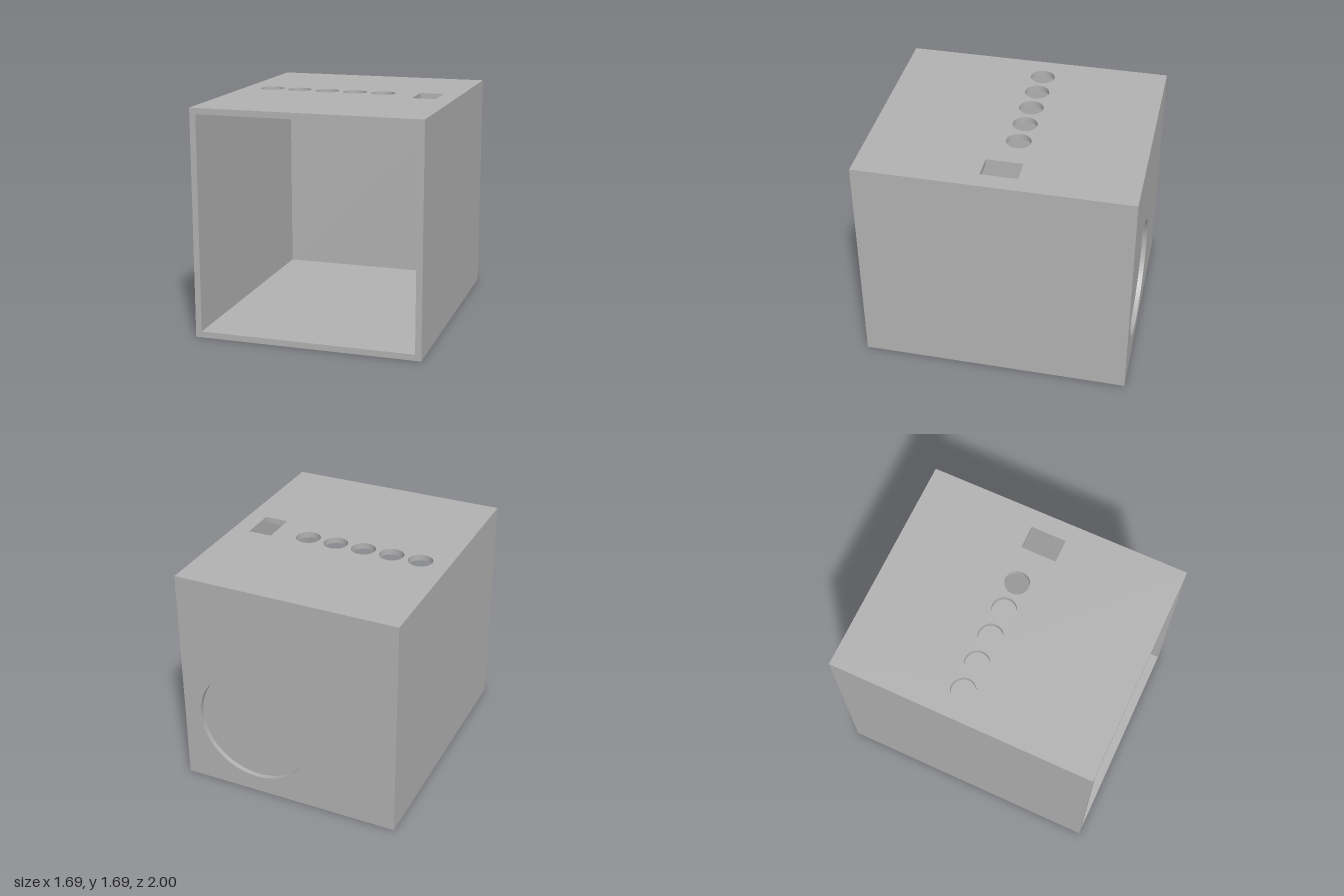
import * as THREE from 'three';

const W = 1.69, H = 1.69, D = 2, T = 0.045; // outer size and wall thickness
const RECESS = 0.036;                       // depth of the round recess in the back

const rectPoints = (x0, y0, x1, y1) => [
  new THREE.Vector2(x0, y0), new THREE.Vector2(x1, y0),
  new THREE.Vector2(x1, y1), new THREE.Vector2(x0, y1),
];

function circleHole(x, y, r) {
  const path = new THREE.Path();
  path.absarc(x, y, r, 0, Math.PI * 2, true);
  return path;
}

const extrude = (shape, depth) =>
  new THREE.ExtrudeGeometry(shape, { depth, bevelEnabled: false, curveSegments: 48 });

export function createModel() {
  const group = new THREE.Group();
  group.name = 'openBox';
  const grey = new THREE.MeshStandardMaterial({ color: 0xb2b2b2 });
  grey.name = 'grey';

  const add = (name, geometry, x, y, z) => {
    const mesh = new THREE.Mesh(geometry, grey);
    mesh.name = name;
    mesh.position.set(x, y, z);
    group.add(mesh);
  };

  // Floor and side walls
  add('floorPanel', new THREE.BoxGeometry(W, T, D), 0, T / 2, 0);
  for (const s of [-1, 1]) {
    add(s > 0 ? 'leftWall' : 'rightWall',
      new THREE.BoxGeometry(T, H - 2 * T, D), s * (W - T) / 2, H / 2, 0);
  }

  // Top panel with five round holes and one rectangular opening
  const top = new THREE.Shape(rectPoints(-W / 2, -D / 2, W / 2, D / 2));
  for (let i = 0; i < 5; i++) top.holes.push(circleHole(-0.625 + i * 0.222, -0.07, 0.091));
  top.holes.push(new THREE.Path(rectPoints(0.53, -0.16, 0.71, 0.11).reverse()));
  add('topPanel', extrude(top, T).rotateX(Math.PI / 2), 0, H, 0);

  // Back wall: outer layer cut by the recess, closed by a thin inner layer
  const back = new THREE.Shape(rectPoints(-W / 2 + T, T, W / 2 - T, H - T));
  back.holes.push(circleHole(0.265, 0.575, 0.446));
  add('backWall', extrude(back, RECESS), 0, 0, -D / 2);
  add('recessFloor', new THREE.BoxGeometry(W - 2 * T, H - 2 * T, T - RECESS),
    0, H / 2, -D / 2 + (T + RECESS) / 2);

  return group;
}
